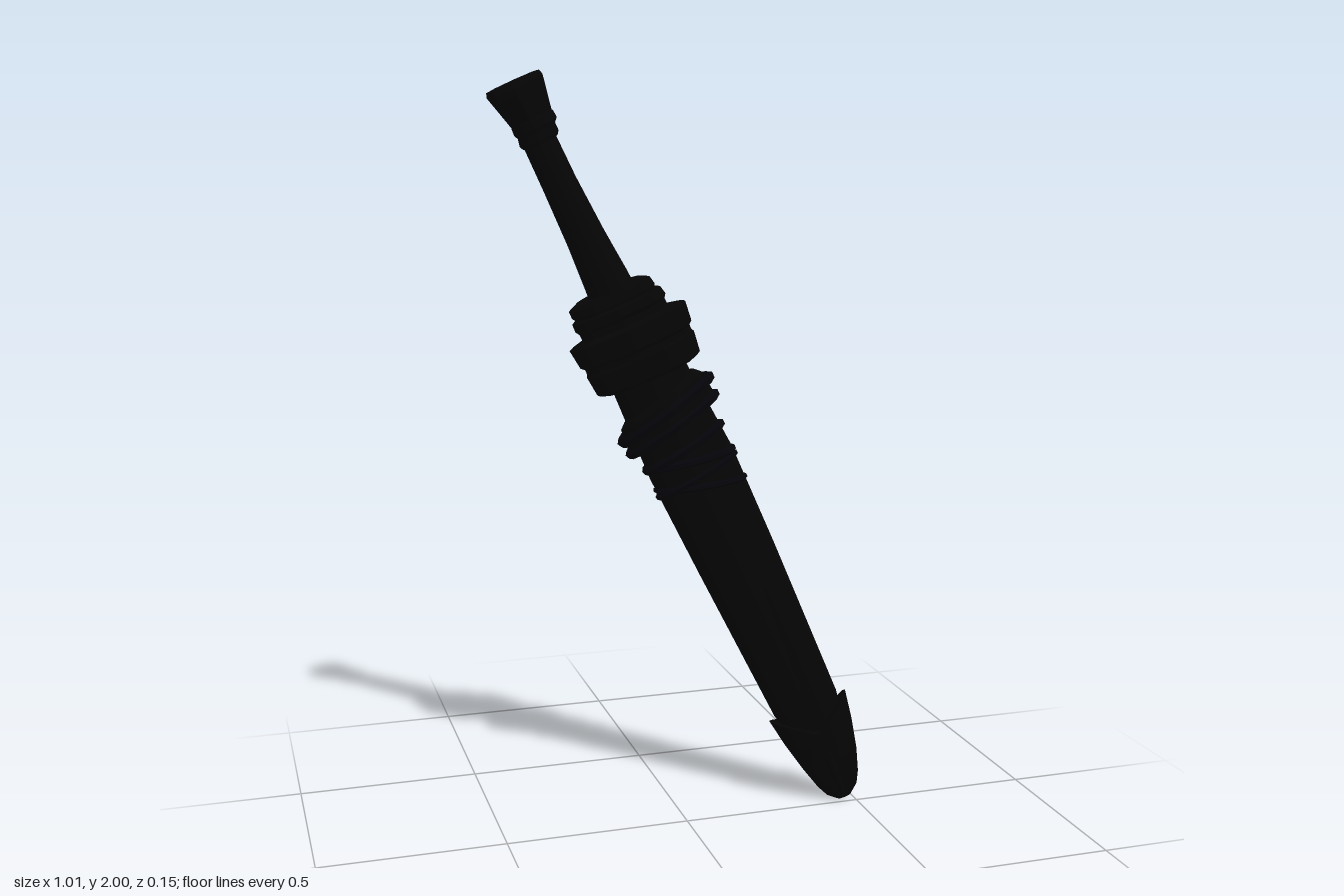
import * as THREE from 'three';

const black = new THREE.MeshStandardMaterial({ color: 0x050505, flatShading: true });
const cord = new THREE.MeshStandardMaterial({ color: 0x04040a, flatShading: true });

// Closed loft along y. Station: [y, centreX, halfWidth, halfDepth, tilt, dip].
// tilt raises the left side of the ring, dip lowers its front and back middle.
// power above 1 pinches the section to a lens, below 1 squares it.
function loft(name, stations, { sides = 16, power = 1, turn = 0, material = black } = {}) {
  const pos = [], index = [];
  const shape = (v) => Math.sign(v) * Math.pow(Math.abs(v), power);
  for (const [y, cx, hw, hd, tilt = 0, dip = 0] of stations) {
    for (let j = 0; j < sides; j++) {
      const a = (j / sides) * Math.PI * 2 + turn;
      const c = shape(Math.cos(a)), s = shape(Math.sin(a));
      pos.push(cx + hw * c, y + tilt * c - dip * (1 - Math.abs(c)), hd * s);
    }
  }
  const last = stations.length - 1;
  for (let i = 0; i < last; i++) {
    for (let j = 0; j < sides; j++) {
      const a = i * sides + j, b = i * sides + ((j + 1) % sides);
      index.push(a, a + sides, b, b, a + sides, b + sides);
    }
  }
  const bottom = pos.length / 3, top = bottom + 1;
  pos.push(stations[0][1], stations[0][0], 0);
  const [ty, tx, , , , td = 0] = stations[last];
  pos.push(tx, ty - td, 0);
  for (let j = 0; j < sides; j++) {
    const k = (j + 1) % sides;
    index.push(bottom, j, k, top, last * sides + k, last * sides + j);
  }
  const g = new THREE.BufferGeometry();
  g.setAttribute('position', new THREE.Float32BufferAttribute(pos, 3));
  g.setIndex(index);
  g.computeVertexNormals();
  const mesh = new THREE.Mesh(g, material);
  mesh.name = name;
  return mesh;
}

// Rounded cord wound once around the scabbard, slanting across it
function winding(name, y, cx, hw, hd, tilt, r) {
  const pts = [];
  for (let i = 0; i < 16; i++) {
    const a = (i / 16) * Math.PI * 2;
    pts.push(new THREE.Vector3(cx + (hw - r) * Math.cos(a), y + tilt * Math.cos(a), (hd - r) * Math.sin(a)));
  }
  const path = new THREE.CatmullRomCurve3(pts, true);
  const mesh = new THREE.Mesh(new THREE.TubeGeometry(path, 32, r, 6, true), cord);
  mesh.name = name;
  return mesh;
}

export function createModel() {
  const dagger = new THREE.Group();
  dagger.name = 'sheathedDagger';

  // Flat tapering scabbard
  dagger.add(loft('scabbard', [
    [0.08, 0.02, 0.055, 0.012],
    [0.32, 0.021, 0.093, 0.026],
    [0.8, 0.016, 0.109, 0.032],
    [1.1, 0.012, 0.116, 0.036],
    [1.38, 0.006, 0.1, 0.036],
  ]));

  // Metal tip with a notched rim
  dagger.add(loft('scabbardTip', [
    [0, 0.012, 0.018, 0.004],
    [0.025, 0.014, 0.045, 0.01],
    [0.06, 0.016, 0.061, 0.017],
    [0.13, 0.019, 0.081, 0.026],
    [0.22, 0.021, 0.1, 0.034, 0, 0.04],
    [0.311, 0.023, 0.114, 0.039, 0, 0.08],
  ], { power: 1.1 }));
  // Raised spine on both faces of the tip
  for (const side of [1, -1]) {
    const spine = loft('tipSpine', [
      [0.02, 0.014, 0.005, 0.003], [0.13, 0.019, 0.012, 0.006], [0.235, 0.022, 0.014, 0.006],
    ], { sides: 6 });
    spine.position.z = side * 0.026;
    dagger.add(spine);
  }

  // Slanted strap and cords below the mouth
  dagger.add(loft('strap', [
    [1.2, 0.01, 0.114, 0.045, 0.03],
    [1.215, 0.01, 0.134, 0.055, 0.03],
    [1.285, 0.008, 0.126, 0.054, 0.03],
    [1.3, 0.008, 0.11, 0.042, 0.03],
  ]));
  const cords = [
    [1.258, 0.01, 0.152, 0.066, 0.035, 0.016],
    [1.215, 0.01, 0.146, 0.062, 0.03, 0.014],
    [1.145, 0.011, 0.126, 0.052, 0.02, 0.013],
    [1.11, 0.012, 0.125, 0.05, -0.02, 0.011],
    [1.06, 0.012, 0.124, 0.046, 0.015, 0.01],
    [1.035, 0.012, 0.122, 0.044, -0.03, 0.009],
  ];
  cords.forEach((c, i) => dagger.add(winding('cord' + (i + 1), ...c)));

  // Wide collar of the guard with a middle groove
  dagger.add(loft('guardCollar', [
    [1.355, 0.009, 0.118, 0.04],
    [1.365, 0.009, 0.144, 0.052],
    [1.42, 0.01, 0.15, 0.055],
    [1.428, 0.01, 0.146, 0.052],
    [1.44, 0.01, 0.146, 0.052],
    [1.448, 0.01, 0.155, 0.056],
    [1.502, 0.01, 0.161, 0.055],
    [1.512, 0.01, 0.12, 0.046],
  ], { power: 0.85 }));
  // Stepped rim above the collar
  dagger.add(loft('guardRim', [
    [1.5, 0.008, 0.118, 0.046],
    [1.53, 0.008, 0.118, 0.046],
    [1.54, 0.008, 0.125, 0.052],
    [1.562, 0.006, 0.122, 0.052],
    [1.568, 0.005, 0.11, 0.047],
    [1.576, 0.004, 0.114, 0.049],
    [1.596, 0.002, 0.112, 0.046],
    [1.606, 0.004, 0.09, 0.042],
  ], { power: 0.85 }));

  // Grip, swelling toward the guard
  dagger.add(loft('grip', [
    [1.58, 0.01, 0.062, 0.046],
    [1.64, 0.01, 0.058, 0.045],
    [1.75, 0.008, 0.05, 0.043],
    [1.9, 0.005, 0.044, 0.038],
    [2.05, 0.004, 0.042, 0.035],
  ], { sides: 12 }));

  // Ring and flared eight-sided pommel
  dagger.add(loft('pommelRing', [
    [2.01, 0.005, 0.046, 0.04],
    [2.02, 0.006, 0.052, 0.044],
    [2.04, 0.008, 0.05, 0.043],
    [2.05, 0.01, 0.057, 0.047],
    [2.068, 0.01, 0.056, 0.046],
    [2.078, 0.009, 0.05, 0.042],
  ], { sides: 12 }));
  dagger.add(loft('pommel', [
    [2.065, 0.009, 0.053, 0.044],
    [2.14, 0.006, 0.07, 0.057],
    [2.158, 0.005, 0.074, 0.055],
    [2.17, 0.005, 0.07, 0.038],
  ], { sides: 8 }));

  // Lean the whole weapon and turn it slightly about its own axis
  dagger.rotation.set(0.014, -0.26, THREE.MathUtils.degToRad(24.8), 'ZXY');
  dagger.position.set(0.46, 0.002, -0.02);

  const model = new THREE.Group();
  model.name = 'model';
  model.add(dagger);
  return model;
}
